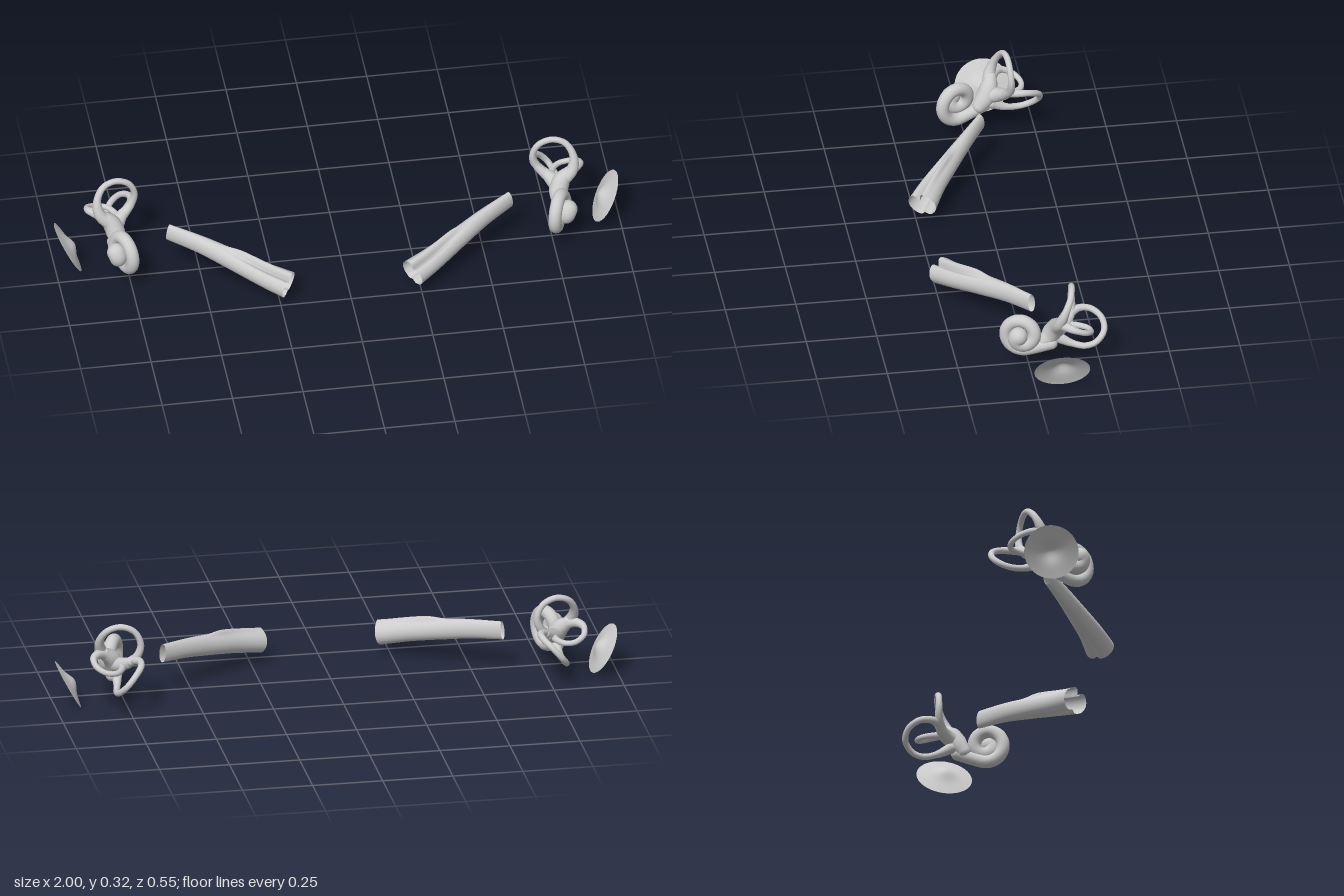
import * as THREE from 'three';

const V = (x, y, z) => new THREE.Vector3(x, y, z);
const mat = new THREE.MeshStandardMaterial({ color: 0xcccccc, side: THREE.DoubleSide });
const { lerp, smoothstep } = THREE.MathUtils;

// Linear interpolation through a list of values, t in 0..1
function sample(list, t) {
  const f = t * (list.length - 1), i = Math.min(Math.floor(f), list.length - 2);
  return lerp(list[i], list[i + 1], f - i);
}

function add(parent, name, geometry) {
  const mesh = new THREE.Mesh(geometry, mat);
  mesh.name = name;
  parent.add(mesh);
  return mesh;
}

// Round duct along a smooth path with a varying radius and rounded ends
function duct(parent, name, points, radii, segments = 64, sides = 16) {
  const curve = new THREE.CatmullRomCurve3(points);
  const geo = new THREE.TubeGeometry(curve, segments, 1, sides);
  const pos = geo.attributes.position, nor = geo.attributes.normal;
  for (let i = 0; i < pos.count; i++) {
    const t = Math.floor(i / (sides + 1)) / segments;
    const p = curve.getPointAt(t).addScaledVector(V().fromBufferAttribute(nor, i), sample(radii, t));
    pos.setXYZ(i, p.x, p.y, p.z);
  }
  const group = new THREE.Group();
  group.name = name;
  add(group, name + 'Wall', geo);
  for (const end of [0, 1]) {
    const cap = add(group, name + 'End', new THREE.SphereGeometry(sample(radii, end), 20, 14));
    cap.position.copy(curve.getPointAt(end));
  }
  parent.add(group);
}

// Elliptical membrane drawn inward to a blunt point
function eardrum(parent, s) {
  const profile = [];
  for (let i = 0; i <= 14; i++) {
    const r = i / 14;
    const depth = 0.017 * Math.exp(-((r / 0.36) ** 2)) + 0.011 * (1 - r * r);
    profile.push(new THREE.Vector2(r, depth));
  }
  const geo = new THREE.LatheGeometry(profile, 40);
  const basis = new THREE.Matrix4().makeBasis(
    V(-0.005 * s, 0, 0.098).multiplyScalar(-s), V(-0.88 * s, 0.48, -0.05), V(0.045 * s, 0.0825, 0));
  basis.setPosition(0.954 * s, 0.0825, -0.09);
  add(parent, 'eardrum', geo.applyMatrix4(basis));
}

// One open turn that winds outward into a swollen, domed tip
function cochlea(parent, s) {
  const u = V(-0.33 * s, 0, 0.94), axis = V(0.94 * s, 0.1, 0.33), points = [];
  points.push(V(0.795 * s, 0.1, -0.075));
  for (let i = 0; i <= 30; i++) {
    const t = i / 30, a = lerp(-1.9, 7, t), R = lerp(0.058, 0.008, smoothstep(t, 0.35, 1));
    points.push(V(0.768 * s, 0.126, 0.025)
      .addScaledVector(u, R * Math.cos(a))
      .addScaledVector(V(0, 1, 0), R * Math.sin(a) + 0.008 * t)
      .addScaledVector(axis, 0.038 * smoothstep(t, 0.2, 1)));
  }
  duct(parent, 'cochlea', points, [0.022, 0.022, 0.023, 0.023, 0.023, 0.025, 0.033], 140, 18);
}

// Folded, flattened tube that widens into a grooved mouth
function auditoryTube(parent, s) {
  const curve = new THREE.CatmullRomCurve3([
    V(0.606 * s, 0.152, -0.033), V(0.5 * s, 0.138, 0.04), V(0.4 * s, 0.116, 0.112),
    V(0.3 * s, 0.092, 0.183), V(0.22 * s, 0.073, 0.231)]);
  const rows = 40, cols = 64, pos = [], idx = [];
  for (let i = 0; i <= rows; i++) {
    const t = i / rows, c = curve.getPointAt(t), T = curve.getTangentAt(t);
    const side = V().crossVectors(T, V(0, 1, 0)).normalize();
    const up = V().crossVectors(side, T);
    const w = sample([0.016, 0.023, 0.032, 0.041, 0.052], t);
    const h = sample([0.033, 0.035, 0.038, 0.041, 0.046], t);
    const fold = smoothstep(t, 0.4, 1);
    const crest = 0.32 * smoothstep(t, 0.4, 0.6) * (1 - 0.8 * smoothstep(t, 0.6, 1));
    for (let j = 0; j <= cols; j++) {
      const a = (j / cols) * Math.PI * 2;
      const bump = (centre, width) => {
        const d = Math.atan2(Math.sin(a - centre), Math.cos(a - centre));
        return Math.exp(-((d / width) ** 2));
      };
      const top = Math.PI / 2;
      const k = 1 - 0.6 * fold * bump(top + 0.35 * s, 0.22) - 0.25 * fold * bump(-top + 0.2 * s, 0.2)
        + crest * bump(top - 0.15 * s, 0.24);
      const p = c.clone().addScaledVector(side, w * k * Math.cos(a)).addScaledVector(up, h * k * Math.sin(a));
      pos.push(p.x, p.y, p.z);
      if (i < rows && j < cols) {
        const q = i * (cols + 1) + j, r = q + cols + 1;
        idx.push(q + 1, r, q, q + 1, r + 1, r);
      }
    }
  }
  const geo = new THREE.BufferGeometry();
  geo.setAttribute('position', new THREE.Float32BufferAttribute(pos, 3));
  geo.setIndex(idx);
  geo.computeVertexNormals();
  add(parent, 'auditoryTube', geo);
}

function ear(s) {
  const group = new THREE.Group();
  group.name = s > 0 ? 'leftEar' : 'rightEar';
  const path = (list) => list.map(([x, y, z]) => V(x * s, y, z));

  eardrum(group, s);
  cochlea(group, s);
  auditoryTube(group, s);

  // Central chamber joining the spiral to the canals
  duct(group, 'vestibule', path([[0.782, 0.105, -0.055], [0.785, 0.135, -0.075], [0.8, 0.17, -0.092],
    [0.828, 0.195, -0.102]]), [0.024, 0.034, 0.032, 0.021], 24);
  duct(group, 'vestibuleBack', path([[0.79, 0.145, -0.08], [0.77, 0.155, -0.12], [0.74, 0.175, -0.15]]),
    [0.03, 0.026, 0.016], 20);

  // Three looping canals
  duct(group, 'superiorCanal', path([[0.8, 0.165, -0.09], [0.838, 0.205, -0.1], [0.845, 0.25, -0.118],
    [0.82, 0.293, -0.14], [0.775, 0.307, -0.15], [0.728, 0.287, -0.155], [0.707, 0.24, -0.158],
    [0.72, 0.196, -0.156], [0.75, 0.165, -0.14]]), [0.024, 0.021, 0.013, 0.011, 0.011, 0.011, 0.014, 0.019]);
  duct(group, 'posteriorCanal', path([[0.735, 0.18, -0.15], [0.715, 0.187, -0.185], [0.718, 0.183, -0.225],
    [0.745, 0.16, -0.26], [0.775, 0.125, -0.265], [0.797, 0.093, -0.235], [0.8, 0.082, -0.195],
    [0.79, 0.09, -0.15], [0.782, 0.115, -0.1]]), [0.016, 0.012, 0.011, 0.011, 0.011, 0.012, 0.02]);
  duct(group, 'lateralCanal', path([[0.81, 0.185, -0.095], [0.85, 0.198, -0.118], [0.873, 0.193, -0.147],
    [0.868, 0.176, -0.187], [0.835, 0.16, -0.21], [0.8, 0.155, -0.203], [0.775, 0.155, -0.165],
    [0.77, 0.155, -0.125]]), [0.022, 0.017, 0.011, 0.01, 0.01, 0.011, 0.014]);
  return group;
}

export function createModel() {
  const model = new THREE.Group();
  model.name = 'innerEars';
  for (const s of [1, -1]) model.add(ear(s));
  return model;
}
